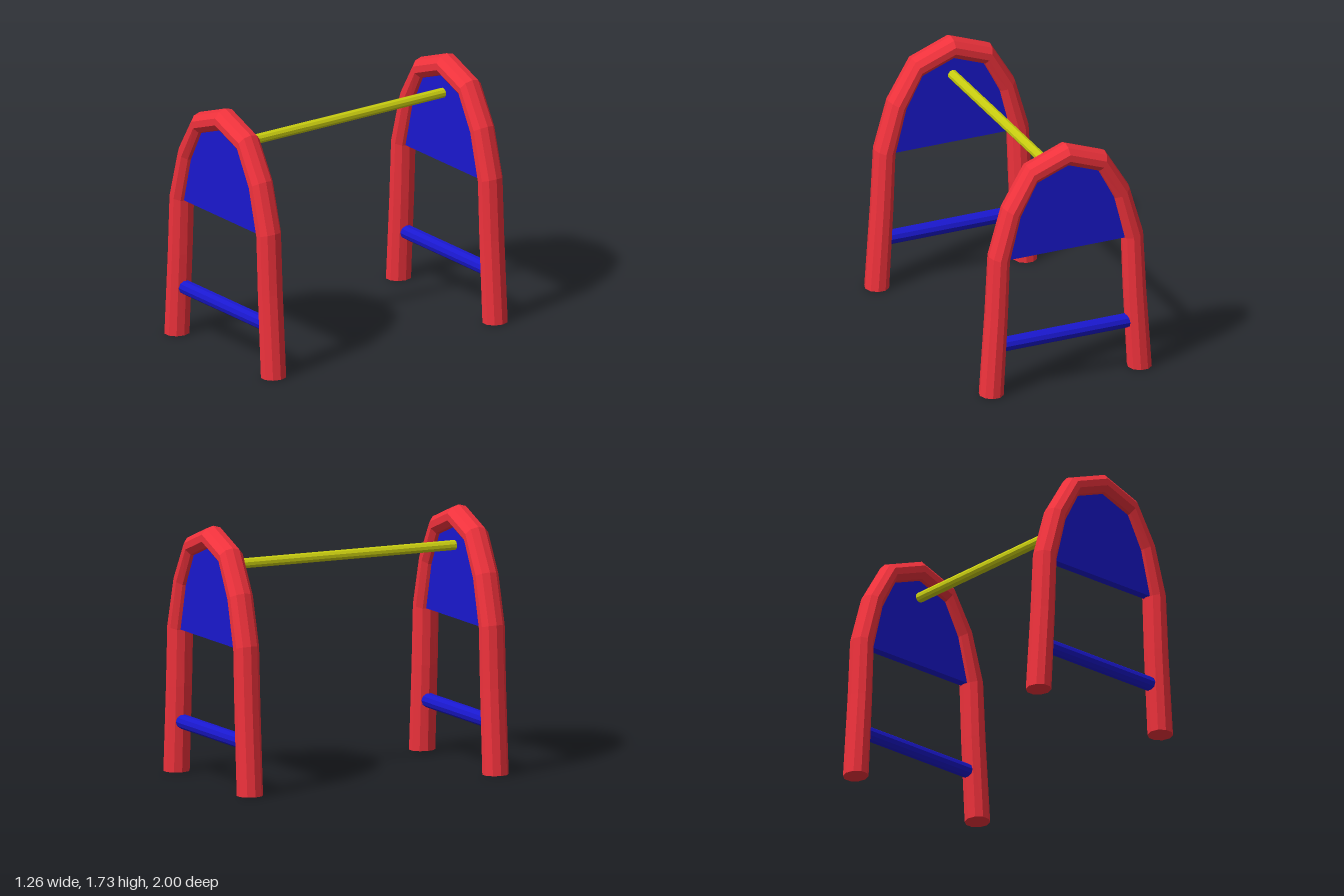
import * as THREE from 'three';

const red = new THREE.MeshStandardMaterial({ color: 0xf0323c, flatShading: true });
const blue = new THREE.MeshStandardMaterial({ color: 0x1a18d0, flatShading: true });
const yellow = new THREE.MeshStandardMaterial({ color: 0xc8cc10, flatShading: true });

const SIDES = 10;
const ARCH_Z = 0.908;

// [outer x, outer y, inner x, inner y] from a foot up to the crown
const half = [
  [0.62, 0, 0.455, 0],
  [0.578, 0.58, 0.425, 0.58],
  [0.555, 1.0, 0.412, 0.96],
  [0.455, 1.34, 0.335, 1.27],
  [0.285, 1.618, 0.222, 1.487],
  [0, 1.725, 0, 1.57],
];
const stations = [...half, ...half.slice(0, -1).reverse().map(([a, b, c, d]) => [-a, b, -c, d])];

// Bent tube: a ring of SIDES corners spans each outer/inner pair
function archGeometry() {
  const rings = stations.map(([ox, oy, ix, iy]) => {
    const ring = [];
    for (let k = 0; k < SIDES; k++) {
      const a = (k / SIDES) * Math.PI * 2;
      const t = (1 + Math.cos(a)) / 2;
      ring.push([ix + (ox - ix) * t, iy + (oy - iy) * t, 0.089 * Math.sin(a)]);
    }
    return ring;
  });
  const pos = [];
  const tri = (...pts) => pts.forEach((p) => pos.push(...p));
  const last = rings.length - 1;
  for (let k = 0; k < SIDES; k++) {
    const n = (k + 1) % SIDES;
    for (let i = 0; i < last; i++) {
      tri(rings[i][k], rings[i + 1][k], rings[i + 1][n]);
      tri(rings[i][k], rings[i + 1][n], rings[i][n]);
    }
    // Foot caps
    if (k > 0 && k < SIDES - 1) {
      tri(rings[0][0], rings[0][k], rings[0][n]);
      tri(rings[last][0], rings[last][n], rings[last][k]);
    }
  }
  const g = new THREE.BufferGeometry();
  g.setAttribute('position', new THREE.Float32BufferAttribute(pos, 3));
  g.computeVertexNormals();
  return g;
}

// Flat panel filling the crown, its edge buried in the tube
function panelGeometry() {
  const bottom = 0.965;
  const pts = [new THREE.Vector2(0.45, bottom)];
  for (const [ox, oy, ix, iy] of stations.slice(3, -3)) {
    pts.push(new THREE.Vector2(ix + (ox - ix) * 0.4, iy + (oy - iy) * 0.4));
  }
  pts.push(new THREE.Vector2(-0.45, bottom));
  const depth = 0.06;
  return new THREE.ExtrudeGeometry(new THREE.Shape(pts), { depth, bevelEnabled: false })
    .translate(0, 0, -depth / 2);
}

function add(parent, name, geometry, material) {
  const mesh = new THREE.Mesh(geometry, material);
  mesh.name = name;
  parent.add(mesh);
  return mesh;
}

export function createModel() {
  const model = new THREE.Group();
  model.name = 'climbingFrame';

  const arch = archGeometry();
  const panel = panelGeometry();
  const rung = new THREE.CylinderGeometry(0.049, 0.049, 0.98, SIDES).rotateZ(Math.PI / 2);

  // Two matching end frames
  for (const [name, z] of [['frontFrame', ARCH_Z], ['backFrame', -ARCH_Z]]) {
    const frame = new THREE.Group();
    frame.name = name;
    frame.position.z = z;
    add(frame, 'arch', arch, red);
    add(frame, 'panel', panel, blue);
    add(frame, 'rung', rung, blue).position.y = 0.343;
    model.add(frame);
  }

  // Long bar joining the frames
  const bar = new THREE.CylinderGeometry(0.034, 0.034, ARCH_Z * 2, SIDES).rotateX(Math.PI / 2);
  add(model, 'crossBar', bar, yellow).position.y = 1.455;

  // The whole frame stands very slightly turned
  model.rotation.y = 0.011;
  return model;
}
